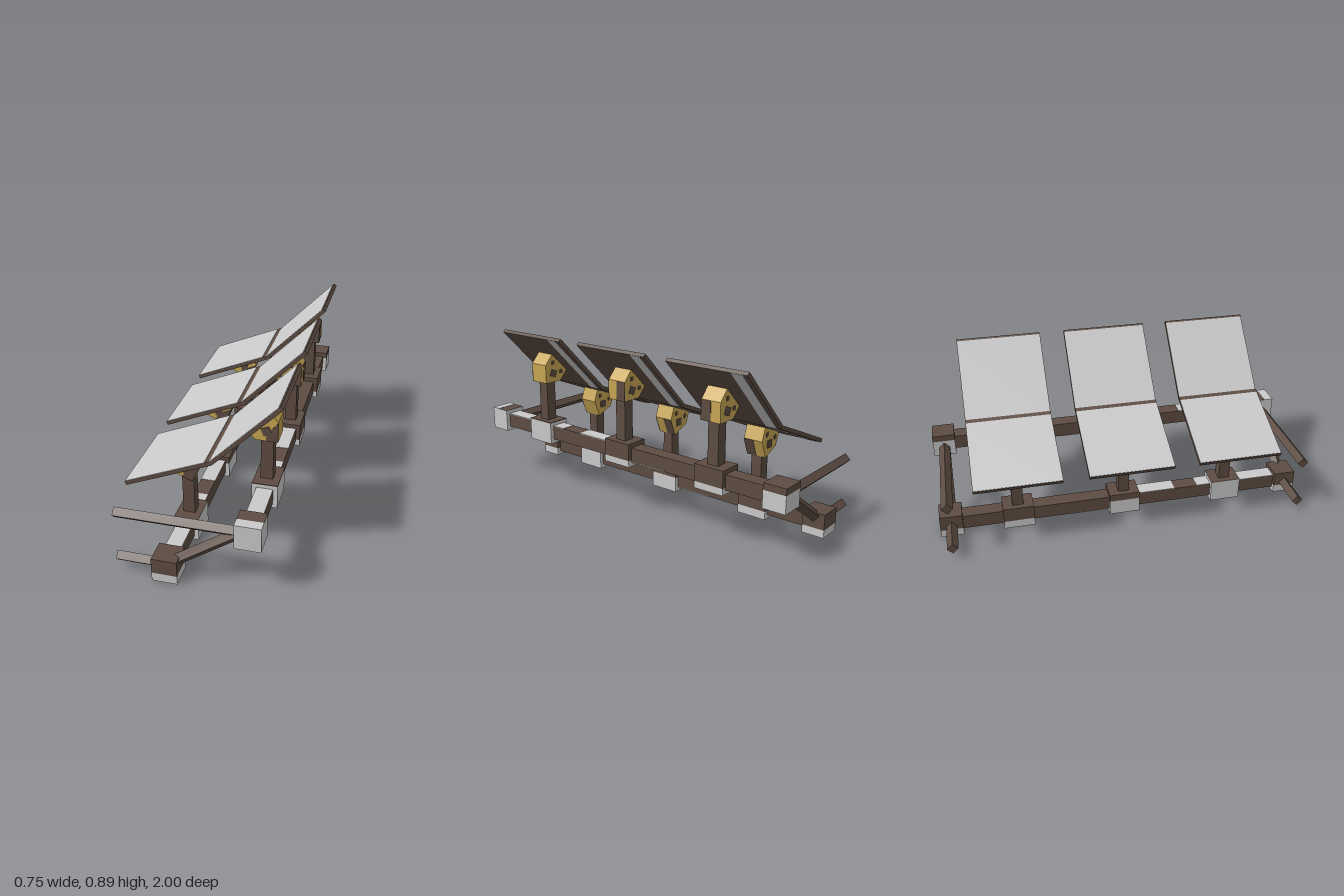
import * as THREE from 'three';

export function createModel() {
  const mat = (name, color) => {
    const m = new THREE.MeshStandardMaterial({ color });
    m.name = name;
    return m;
  };
  const brown = mat('darkBrown', 0x5d4c42);
  const grey = mat('lightGrey', 0xcacaca);
  const gold = mat('gold', 0xc8a653);
  const root = new THREE.Group();
  root.name = 'panelRack';

  function add(parent, name, geo, material, x = 0, y = 0, z = 0) {
    const mesh = new THREE.Mesh(geo, material);
    mesh.name = name;
    mesh.position.set(x, y, z);
    parent.add(mesh);
    return mesh;
  }
  const box = (parent, name, w, h, d, m, x, y, z) =>
    add(parent, name, new THREE.BoxGeometry(w, h, d), m, x, y, z);

  // Box running from p to q in the x-y plane, optionally rolled about its length
  function bar(parent, name, p, q, thick, depth, m, z, roll = 0) {
    const dx = q[0] - p[0], dy = q[1] - p[1];
    const geo = new THREE.BoxGeometry(Math.hypot(dx, dy), thick, depth);
    geo.rotateX(roll).rotateZ(Math.atan2(dy, dx));
    return add(parent, name, geo, m, (p[0] + q[0]) / 2, (p[1] + q[1]) / 2, z);
  }

  // Flat outline extruded symmetrically about z = 0
  function extrude(points, depth) {
    const shape = new THREE.Shape(points.map(([x, y]) => new THREE.Vector2(x, y)));
    return new THREE.ExtrudeGeometry(shape, { depth, bevelEnabled: false }).translate(0, 0, -depth / 2);
  }

  const STEP = 0.583, END = 0.94, NODE = 0.124;
  const nodeZ = [END, STEP, 0, -STEP, -END];

  // Two long rails with joint blocks; greyHeights is the pale lower part of each block
  const rails = [
    { name: 'lowerRail', x: -0.127, y: 0.0625, greyHeights: [0.045, NODE, 0.085, 0.045, 0.042] },
    { name: 'upperRail', x: 0.267, y: 0.3265, greyHeights: [NODE, 0.12, 0.035, 0.035, 0.09] },
  ];
  const greyBlock = [grey, grey, brown, brown, grey, grey];
  for (const r of rails) {
    const g = new THREE.Group();
    g.name = r.name;
    root.add(g);
    box(g, 'beam', 0.08, 0.077, 1.86, brown, r.x, r.y, 0);
    nodeZ.forEach((z, i) => {
      const depth = i % 4 === 0 ? 0.12 : 0.166;
      const h = r.greyHeights[i], y0 = r.y - NODE / 2;
      box(g, 'blockBase', NODE, h, depth, greyBlock, r.x, y0 + h / 2, z);
      if (h < NODE) box(g, 'blockCap', NODE, NODE - h, depth, brown, r.x, y0 + (h + NODE) / 2, z);
    });
    // Pale patches on the beam
    for (const [a, b] of [[0.08, 0.29], [0.42, 0.5], [0.665, 0.88]])
      box(g, 'topPatch', 0.08, 0.004, b - a, grey, r.x, r.y + 0.039, (a + b) / 2);
    box(g, 'bottomPatch', 0.08, 0.004, 0.21, grey, r.x, r.y - 0.039, -0.19);
  }
  box(root, 'blockTopPatch', NODE, 0.004, 0.05, grey, 0.267, 0.388, 0.975);

  // End frames: square bars standing on edge
  const side = 0.0415;
  for (const z of [END, -END]) {
    const strut = (name, p, q, s = side) => bar(root, name, p, q, s, s, brown, z, Math.PI / 4);
    strut('upperArm', [-0.376, 0.314], [0.22, 0.314]);
    strut('lowerArm', [-0.376, 0.064], [-0.15, 0.064]);
    strut('diagonalBrace', [-0.127, 0.066], [0.25, 0.332]);
  }

  // Bracket outline around its pivot
  const outline = [[-0.103, 0.004], [-0.052, -0.05], [0.055, -0.05], [0.055, 0.052], [0.005, 0.107]];
  const corner = [[0, -0.05], [0.055, -0.05], [0.055, 0.05], [0.022, 0.012], [0, -0.02]];
  const bracketGeo = extrude(outline, 0.108);
  const cornerGeo = extrude(corner, 0.006);

  function bracket(x, y, z, angle, i) {
    const g = new THREE.Group();
    g.name = 'bracket';
    g.position.set(x, y, z);
    g.rotation.z = angle;
    add(g, 'bracketBody', bracketGeo, gold);
    for (const s of [1, -1]) {
      const f = s * 0.054;
      box(g, 'bolt', 0.021, 0.021, 0.006, brown, -0.058, 0.002, f);
      box(g, 'bolt', 0.021, 0.021, 0.006, brown, 0, 0.06, f);
      box(g, 'pivotPin', 0.041, 0.041, 0.008, brown, 0, 0, f).rotation.z = 0.39;
    }
    add(g, 'cornerPlate', cornerGeo, brown, 0, 0, 0.0535);
    // Half-width brown plate on the outer face of the middle and rear brackets
    if (i > 0) box(g, 'outerPlate', 0.004, 0.1, 0.054, brown, 0.055, 0.001, i === 1 ? -0.027 : 0.027);
    root.add(g);
  }

  // Bent panels on posts
  const profile = [[-0.372, 0.394], [-0.364, 0.376], [0.055, 0.55], [0.374, 0.872], [0.36, 0.886], [0.047, 0.568]];
  const panelGeo = extrude(profile, 0.45);
  [STEP, 0, -STEP].forEach((z, i) => {
    box(root, 'lowerPost', 0.06, 0.27, 0.06, brown, -0.127, 0.245, z);
    box(root, 'upperPost', 0.06, 0.27, 0.06, brown, 0.265, 0.505, z);
    bracket(-0.127, 0.395, z, -Math.PI / 8, i);
    bracket(0.265, 0.658, z, 0, i);

    const g = new THREE.Group();
    g.name = 'panel';
    g.position.z = z;
    root.add(g);
    add(g, 'panelSheet', panelGeo, brown);
    bar(g, 'lowerFace', [-0.37, 0.395], [0.02, 0.557], 0.004, 0.448, grey, 0);
    bar(g, 'upperFace', [0.04, 0.561], [0.352, 0.878], 0.004, 0.448, grey, 0);
    // Pale strip beneath, near the rear edge
    bar(g, 'underStrip', [-0.362, 0.377], [0.053, 0.549], 0.004, 0.06, grey, -0.169);
    bar(g, 'underStrip', [0.056, 0.551], [0.373, 0.871], 0.004, 0.06, grey, -0.169);
  });

  return root;
}
